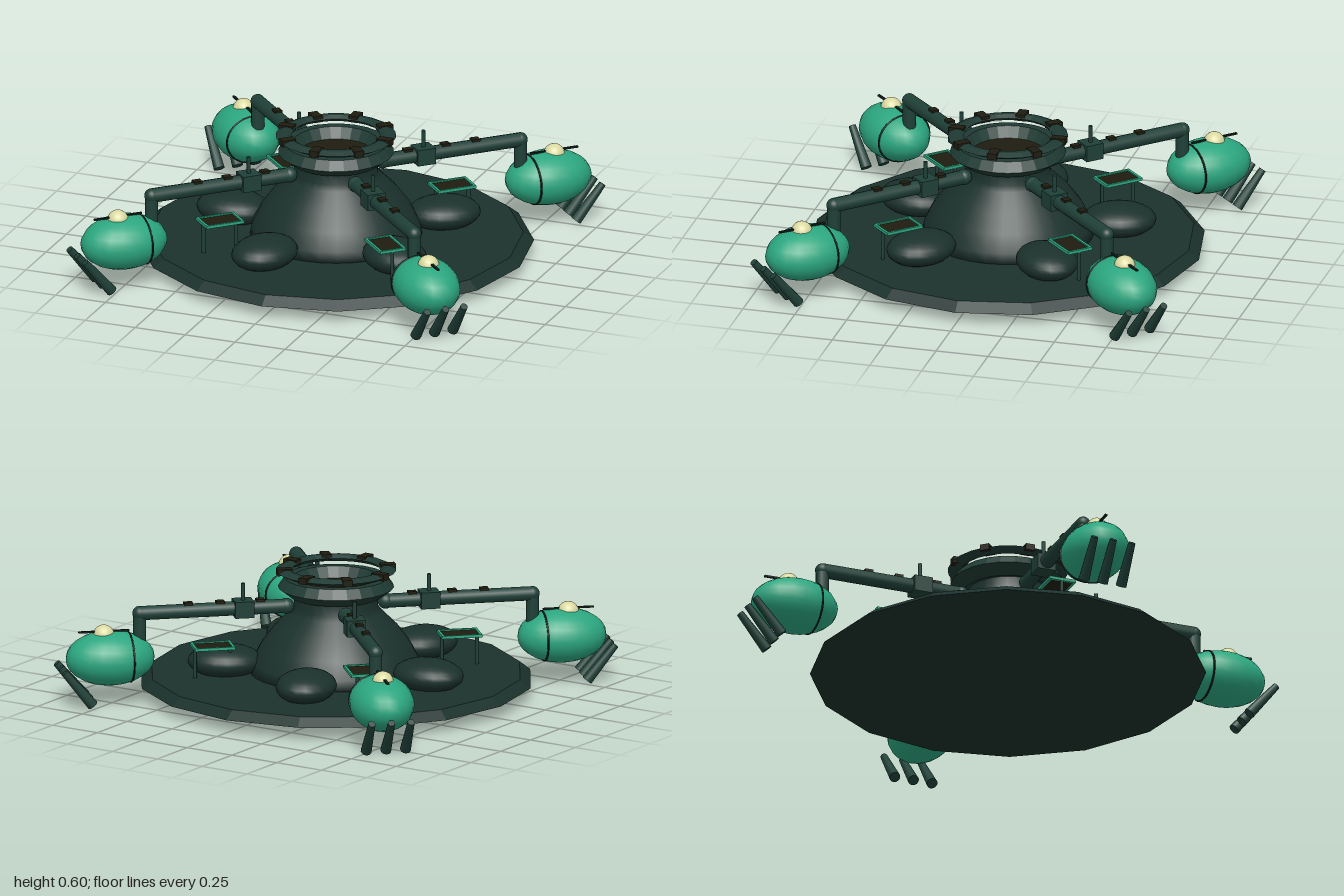
import * as THREE from 'three';

const mat = (color, extra = {}) => new THREE.MeshStandardMaterial({ color, ...extra });
const M = {
  base: mat(0x1b312c, { flatShading: true }),
  hull: mat(0x1b312c, { side: THREE.DoubleSide }),
  arm: mat(0x1f4037),
  green: mat(0x2ba67f),
  lamp: mat(0xdcdaa2),
  panel: mat(0x1f1d10),
  black: mat(0x0f1d19),
};

function add(parent, name, geometry, material, x = 0, y = 0, z = 0) {
  const mesh = new THREE.Mesh(geometry, material);
  mesh.name = name;
  mesh.position.set(x, y, z);
  parent.add(mesh);
  return mesh;
}

const box = (w, h, d) => new THREE.BoxGeometry(w, h, d);
const cyl = (top, bottom, h, n = 12) => new THREE.CylinderGeometry(top, bottom, h, n);
const ball = (r) => new THREE.SphereGeometry(r, 20, 14);
const lathe = (points, n = 32) =>
  new THREE.LatheGeometry(points.map(([x, y]) => new THREE.Vector2(x, y)), n);

// Tapered cylinder between two points
function rod(parent, name, a, b, ra, rb, material) {
  const dir = b.clone().sub(a);
  const mesh = add(parent, name, cyl(rb, ra, dir.length()), material);
  mesh.position.copy(a).lerp(b, 0.5);
  mesh.quaternion.setFromUnitVectors(new THREE.Vector3(0, 1, 0), dir.normalize());
  return mesh;
}

// Low table with a framed panel, lying below an arm
function makeTable() {
  const g = new THREE.Group();
  g.name = 'table';
  const L = 0.19, W = 0.13, t = 0.012;
  add(g, 'tablePanel', box(L - t, 0.006, W - t), M.panel, 0, 0.246, 0);
  for (const s of [-1, 1]) {
    add(g, 'frameLong', box(L, 0.014, t), M.green, 0, 0.248, s * (W - t) / 2);
    add(g, 'frameShort', box(t, 0.014, W), M.green, s * (L - t) / 2, 0.248, 0);
    add(g, 'tableLeg', cyl(0.009, 0.009, 0.15, 8), M.arm, s * 0.083, 0.17, 0);
  }
  return g;
}

// Egg-shaped pod with seam, spine, lamp and claws
function makePod() {
  const g = new THREE.Group();
  g.name = 'pod';
  const shell = add(g, 'podShell', ball(1), M.green, 1.07, 0.217, 0);
  shell.scale.set(0.21, 0.128, 0.15);
  const k = Math.sqrt(1 - (0.09 / 0.21) ** 2);
  const seam = add(g, 'podSeam', new THREE.TorusGeometry(k, 0.03, 6, 32), M.black, 0.98, 0.217, 0);
  seam.rotation.y = Math.PI / 2;
  seam.scale.set(0.15, 0.128, 0.15);
  add(g, 'podSpine', box(0.24, 0.008, 0.012), M.black, 1.1, 0.345, 0);
  add(g, 'podLamp', ball(0.05), M.lamp, 1.1, 0.326, 0);
  for (const z of [-0.093, 0, 0.093]) {
    rod(g, 'claw', new THREE.Vector3(1.17, 0.017, z), new THREE.Vector3(1.305, 0.18, z), 0.026, 0.017, M.arm);
  }
  return g;
}

// Arm reaching outward along +x
function makeArm() {
  const g = new THREE.Group();
  g.name = 'armAssembly';
  rod(g, 'armBeam', new THREE.Vector3(0.22, 0.423, 0), new THREE.Vector3(0.93, 0.423, 0), 0.034, 0.034, M.arm);
  add(g, 'shoulder', ball(0.037), M.arm, 0.235, 0.423, 0);
  add(g, 'elbow', ball(0.034), M.arm, 0.93, 0.423, 0);
  add(g, 'forearm', cyl(0.031, 0.031, 0.16), M.arm, 0.93, 0.34, 0);
  add(g, 'clamp', box(0.09, 0.078, 0.09), M.arm, 0.44, 0.423, 0);
  add(g, 'antenna', cyl(0.01, 0.01, 0.09, 8), M.arm, 0.44, 0.497, 0);
  for (const x of [0.36, 0.55, 0.7]) add(g, 'armStud', box(0.04, 0.014, 0.035), M.panel, x, 0.457, 0);
  const table = makeTable();
  table.position.x = 0.585;
  g.add(table, makePod());
  return g;
}

export function createModel() {
  const model = new THREE.Group();
  model.name = 'station';

  // Sixteen-sided platform
  add(model, 'platform', cyl(0.87, 0.92, 0.04, 16), M.base, 0, 0.08, 0);

  // Central tower with its shallow keel
  add(model, 'tower', lathe([
    [0, 0.048], [0.15, 0.053], [0.3, 0.065], [0.4, 0.1], [0.39, 0.15], [0.35, 0.23],
    [0.29, 0.31], [0.215, 0.385], [0.195, 0.41], [0.195, 0.465],
  ]), M.hull);

  // Collar around the tower mouth
  const hullFlat = mat(0x1f3a33, { flatShading: true, side: THREE.DoubleSide });
  add(model, 'collar', lathe([
    [0.17, 0.47], [0.215, 0.462], [0.27, 0.505], [0.24, 0.55], [0.2, 0.55], [0.17, 0.5], [0.17, 0.47],
  ], 24), hullFlat);
  add(model, 'mouthPanel', cyl(0.172, 0.172, 0.02, 24), M.panel, 0, 0.49, 0);

  // Floating crown ring with eight blocks
  add(model, 'crownRing', lathe([
    [0.205, 0.585], [0.225, 0.568], [0.25, 0.568], [0.28, 0.584], [0.25, 0.598], [0.225, 0.598], [0.205, 0.585],
  ], 24), hullFlat);
  for (let i = 0; i < 8; i++) {
    const a = (i * Math.PI) / 4;
    const block = add(model, 'crownBlock', box(0.07, 0.03, 0.045), M.panel,
      Math.cos(a) * 0.245, 0.587, -Math.sin(a) * 0.245);
    block.rotation.y = a;
  }

  // Five domes around the tower foot
  for (let i = 0; i < 5; i++) {
    const a = Math.PI + (i * 2 * Math.PI) / 5;
    const dome = add(model, 'dome', ball(1), M.hull, Math.cos(a) * 0.515, 0.155, -Math.sin(a) * 0.515);
    dome.scale.set(0.175, 0.077, 0.14);
    dome.rotation.y = a;
  }

  // Four diagonal arms
  for (let i = 0; i < 4; i++) {
    const arm = makeArm();
    arm.rotation.y = Math.PI / 4 + (i * Math.PI) / 2;
    model.add(arm);
  }
  return model;
}
